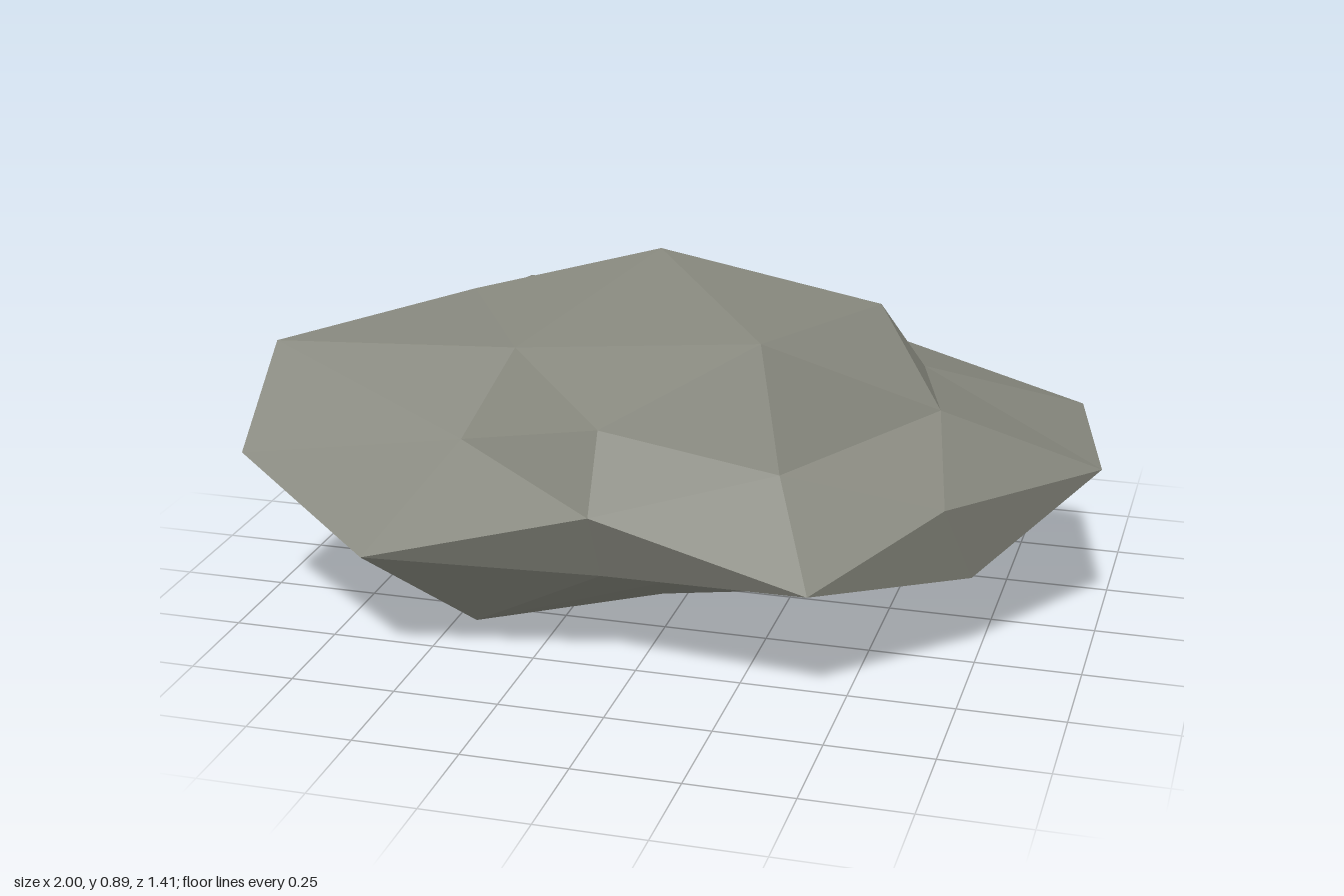
import * as THREE from 'three';

// Direction families of a once-divided icosahedron, each with one radius per
// sign combination (x, then y, then z; plus before minus).
const P = (1 + Math.sqrt(5)) / 2;
const FAMILIES = [
  { dir: [1, 0, 0], radii: [1.06, 0.84] },
  { dir: [0, 1, 0], radii: [1.085, 1.05] },
  { dir: [0, 0, 1], radii: [0.80, 1.03] },
  { dir: [1, P, 0], radii: [1.01, 1.015, 0.89, 1.02] },
  { dir: [0, 1, P], radii: [0.81, 0.85, 0.80, 0.88] },
  { dir: [P, 0, 1], radii: [0.885, 1.13, 1.07, 1.107] },
  { dir: [P, 1, P - 1], radii: [0.88, 0.75, 0.99, 0.88, 1.09, 0.767, 0.79, 1.08] },
  { dir: [P - 1, P, 1], radii: [1.12, 0.715, 0.71, 1.005, 0.84, 0.79, 1.095, 1.09] },
  { dir: [1, P - 1, P], radii: [0.82, 0.875, 1.0, 0.78, 0.71, 1.12, 1.055, 0.95] },
];
const SCALE = new THREE.Vector3(1, 0.417, 0.75);
const CENTRE = new THREE.Vector3(-0.059, 0.441, 0.063);

// Expand each family into signed unit directions with their radius
function buildBumps() {
  const bumps = [];
  const signs = (v) => (v === 0 ? [0] : [v, -v]);
  for (const { dir, radii } of FAMILIES) {
    let i = 0;
    for (const x of signs(dir[0]))
      for (const y of signs(dir[1]))
        for (const z of signs(dir[2]))
          bumps.push({ dir: new THREE.Vector3(x, y, z).normalize(), radius: radii[i++] });
  }
  return bumps;
}

export function createModel() {
  const group = new THREE.Group();
  group.name = 'rock';

  const stone = new THREE.MeshStandardMaterial({ color: 0x85867c, flatShading: true });
  stone.name = 'grey stone';

  // Boulder: squashed icosphere with every corner pushed in or out
  const geometry = new THREE.IcosahedronGeometry(1, 1);
  const position = geometry.attributes.position;
  const bumps = buildBumps();
  const v = new THREE.Vector3();
  for (let i = 0; i < position.count; i++) {
    v.fromBufferAttribute(position, i).normalize();
    const { radius } = bumps.find((b) => b.dir.dot(v) > 0.99);
    v.multiplyScalar(radius).multiply(SCALE).add(CENTRE);
    position.setXYZ(i, v.x, v.y, v.z);
  }
  geometry.computeVertexNormals();

  const boulder = new THREE.Mesh(geometry, stone);
  boulder.name = 'boulder';
  group.add(boulder);
  return group;
}
